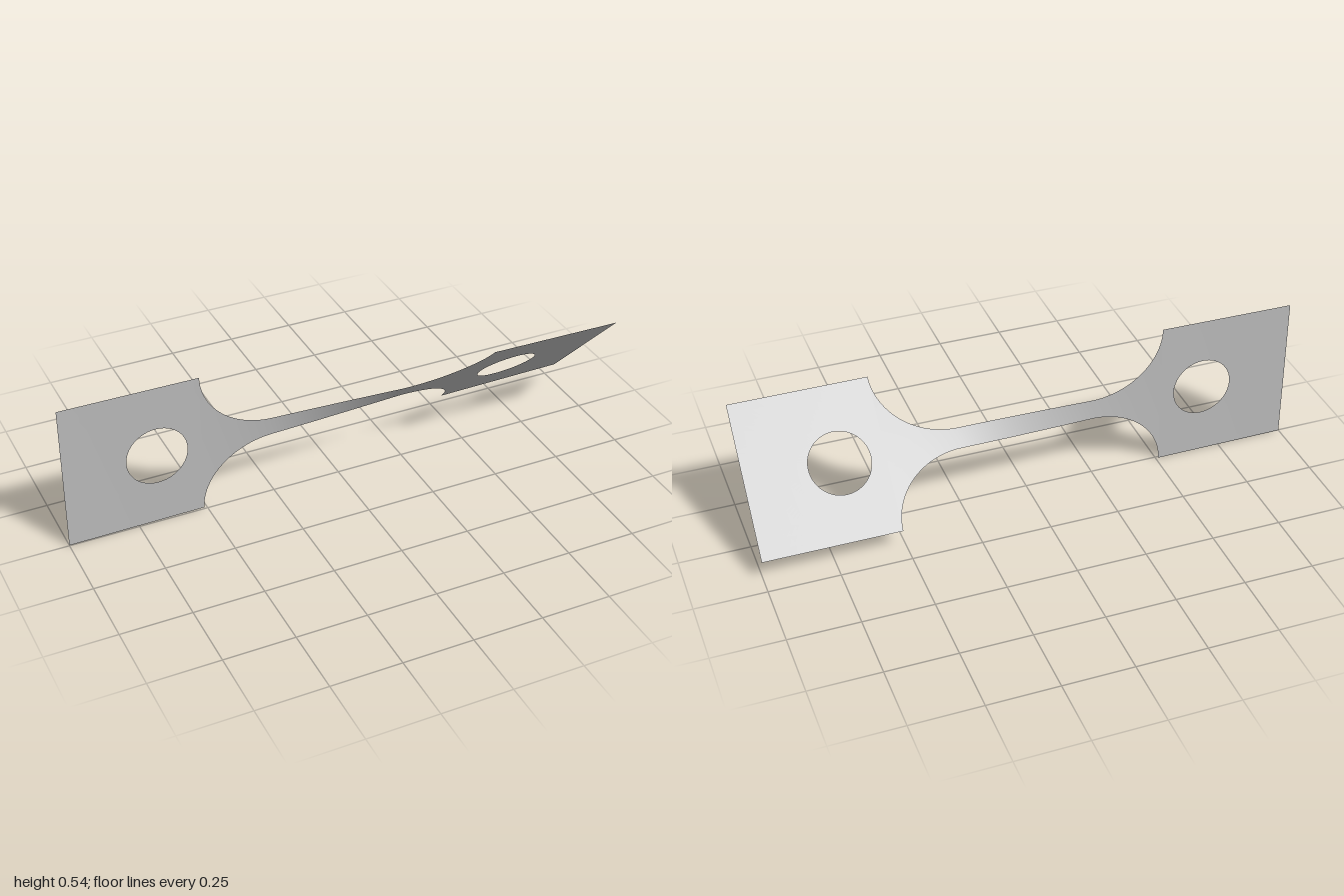
import * as THREE from 'three';

const HALF = 0.271;   // half height of the end tabs
const NECK = 0.036;   // half height of the neck
const INNER = 0.51;   // where tab meets fillet
const FILLET = 0.265; // fillet length along x
const HOLE = { x: 0.67, r: 0.109 };

// Twist angle in degrees along the length, concentrated in the neck
const TWIST = [[-1, 0.4], [-0.51, 1.5], [-0.38, 3], [-0.25, 6.5], [0, 22.2],
  [0.25, 37.9], [0.38, 41.4], [0.51, 42.8], [1, 44]];
function twistAt(x) {
  let i = 0;
  while (i < TWIST.length - 2 && x > TWIST[i + 1][0]) i++;
  const [x0, a0] = TWIST[i], [x1, a1] = TWIST[i + 1];
  return THREE.MathUtils.degToRad(a0 + (a1 - a0) * (x - x0) / (x1 - x0));
}

// Bend a flat grid: place(u, v) gives the flat point, which is then twisted about x
function sheet(name, material, nu, nv, place) {
  const geo = new THREE.PlaneGeometry(1, 1, nu, nv);
  const pos = geo.attributes.position;
  for (let i = 0; i < pos.count; i++) {
    const [x, y] = place(pos.getX(i) + 0.5, pos.getY(i) + 0.5);
    const a = twistAt(x);
    pos.setXYZ(i, x, HALF + y * Math.cos(a), y * Math.sin(a));
  }
  geo.computeVertexNormals();
  const mesh = new THREE.Mesh(geo, material);
  mesh.name = name;
  return mesh;
}

// Neck with a quarter-round fillet at each end
function neckPoint(u, v) {
  const s = u < 0.5 ? -1 : 1;
  const d = Math.abs(u - 0.5) * 2; // 0 middle, 1 tab edge
  let x, h = NECK;
  if (d < 0.4) {
    x = (INNER - FILLET) * d / 0.4;
  } else {
    const t = (d - 0.4) / 0.6 * Math.PI / 2;
    x = INNER - FILLET + FILLET * Math.sin(t);
    h = HALF - (HALF - NECK) * Math.cos(t);
  }
  return [s * x, (v * 2 - 1) * h];
}

// Square tab as a ring between its rectangular outline and the round hole
function tabPoint(side) {
  const corners = [[-INNER, -HALF], [-INNER, HALF], [-1, HALF], [-1, -HALF]];
  return (u, v) => {
    const p = (1 - u) * 4;
    const k = Math.min(3, Math.floor(p + 1e-6)), f = p - k;
    const a = corners[k], b = corners[(k + 1) % 4];
    const ox = a[0] + (b[0] - a[0]) * f, oy = a[1] + (b[1] - a[1]) * f;
    const t = Math.atan2(oy, ox + HOLE.x);
    const ix = -HOLE.x + HOLE.r * Math.cos(t), iy = HOLE.r * Math.sin(t);
    // right tab is the left one turned half a turn in its plane
    return [-side * (ix + (ox - ix) * v), -side * (iy + (oy - iy) * v)];
  };
}

export function createModel() {
  const group = new THREE.Group();
  group.name = 'twistedStrip';
  const metal = new THREE.MeshStandardMaterial({ color: 0xbcbcbc, side: THREE.DoubleSide });
  metal.name = 'grey metal';

  group.add(sheet('neck', metal, 80, 8, neckPoint));
  group.add(sheet('rightTab', metal, 80, 6, tabPoint(-1)));
  group.add(sheet('leftTab', metal, 80, 6, tabPoint(1)));
  return group;
}
